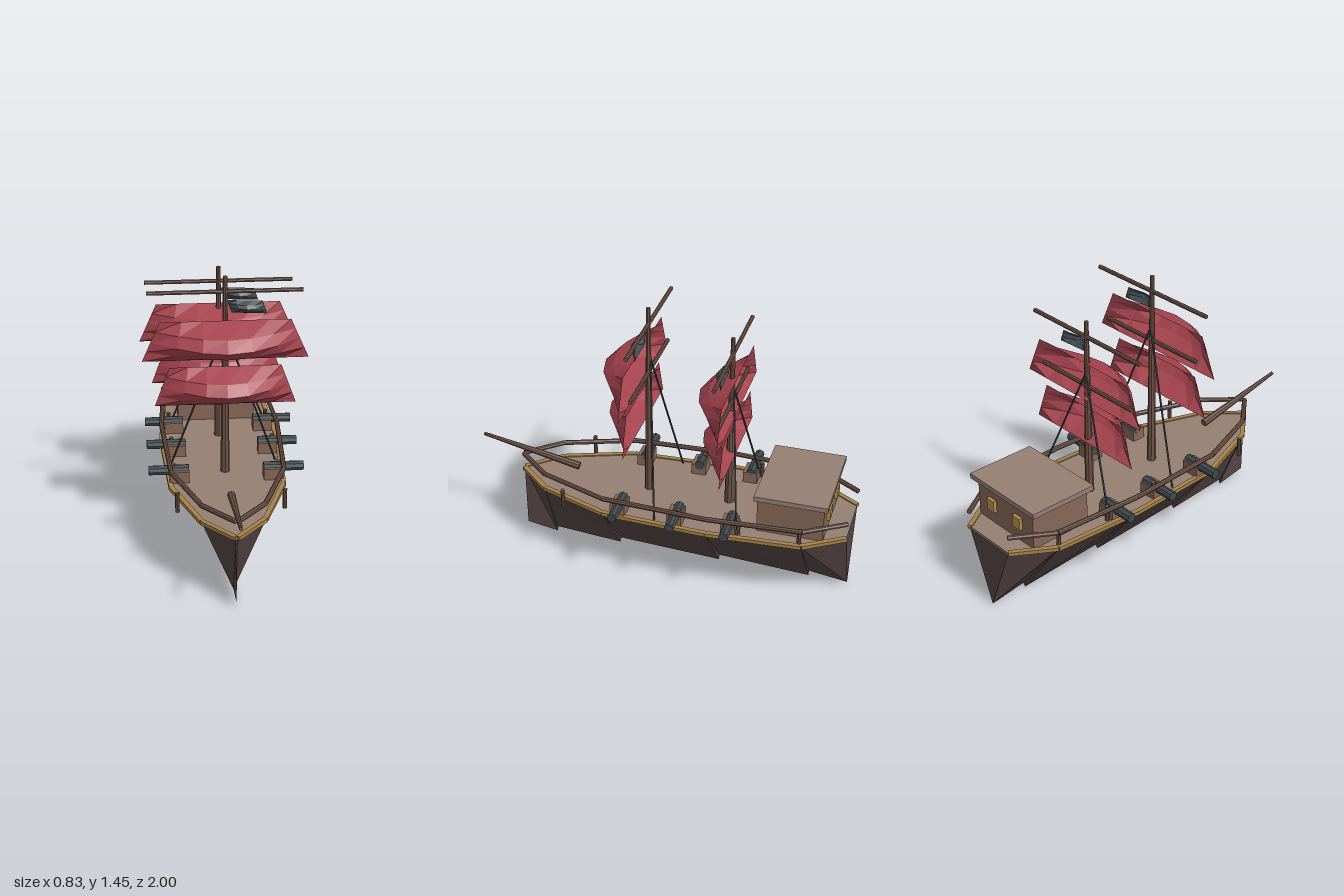
import * as THREE from 'three';

const mat = (color, side = THREE.FrontSide) =>
  new THREE.MeshStandardMaterial({ color, side, flatShading: true });
const hullMat = mat(0x564545), deckMat = mat(0x967f73), cabinMat = mat(0x866857);
const woodMat = mat(0x6e5346), trimMat = mat(0xa5824a), ironMat = mat(0x3f4a4e);
const sailMat = mat(0xa5434e, THREE.DoubleSide), flagMat = mat(0x3f4a4e, THREE.DoubleSide);
const windowMat = mat(0xb8924c);

// deck outline, stern to bow: [z, half width]
const OUTLINE = [[-0.995, 0.15], [-0.79, 0.28], [-0.305, 0.31], [0.245, 0.285], [0.605, 0.155], [0.775, 0.005]];
const DECK = 0.38;

function add(parent, name, geometry, material, x = 0, y = 0, z = 0) {
  const mesh = new THREE.Mesh(geometry, material);
  mesh.name = name;
  mesh.position.set(x, y, z);
  parent.add(mesh);
  return mesh;
}

// round spar from point a to point b
function spar(parent, name, a, b, r0, r1, material = woodMat, sides = 8) {
  const p = new THREE.Vector3(...a), q = new THREE.Vector3(...b);
  const dir = q.clone().sub(p);
  const mesh = add(parent, name, new THREE.CylinderGeometry(r1, r0, dir.length(), sides), material);
  mesh.position.copy(p).add(q).multiplyScalar(0.5);
  mesh.quaternion.setFromUnitVectors(new THREE.Vector3(0, 1, 0), dir.normalize());
  return mesh;
}

// V-shaped hull in overlapping sections, each keel dropping towards its aft end
function hullGeometry() {
  const pos = [];
  const tri = (...pts) => pts.forEach(p => pos.push(...p));
  for (let i = 0; i < OUTLINE.length - 1; i++) {
    const [zb, wb] = OUTLINE[i], [zf, wf] = OUTLINE[i + 1];
    const kf = [0, 0.03, zf], kb = [0, 0, zb];
    const fl = [wf, DECK, zf], fr = [-wf, DECK, zf], bl = [wb, DECK, zb], br = [-wb, DECK, zb];
    tri(fl, kf, kb); tri(fl, kb, bl);
    tri(fr, kb, kf); tri(fr, br, kb);
    tri(bl, kb, br);
    tri(fl, fr, kf);
  }
  const g = new THREE.BufferGeometry();
  g.setAttribute('position', new THREE.Float32BufferAttribute(pos, 3));
  g.computeVertexNormals();
  return g;
}

function deckGeometry() {
  const side = OUTLINE.map(([z, w]) => new THREE.Vector2(w, -z));
  const other = OUTLINE.map(([z, w]) => new THREE.Vector2(-w, -z)).reverse();
  return new THREE.ExtrudeGeometry(new THREE.Shape([...side, ...other]), { depth: 0.01, bevelEnabled: false })
    .rotateX(-Math.PI / 2);
}

// cloth that widens downwards and bellies forwards
function clothGeometry(topHalf, bottomHalf, height, belly, cols) {
  const g = new THREE.PlaneGeometry(1, 1, cols, 4);
  const p = g.attributes.position;
  for (let i = 0; i < p.count; i++) {
    const u = p.getX(i), v = p.getY(i);
    const half = THREE.MathUtils.lerp(bottomHalf, topHalf, v + 0.5);
    p.setXYZ(i, u * 2 * half, v * height, belly * Math.cos(Math.PI * u) * Math.cos(Math.PI * v));
  }
  g.computeVertexNormals();
  return g;
}

// mast with yards, sails, pennant and stays; clothY and sailZ place the cloth
function rig(name, z, top, clothY, sailZ) {
  const g = new THREE.Group();
  g.name = name;
  spar(g, 'mast', [0, DECK, z], [0, top, z], 0.024, 0.011);
  spar(g, 'upperYard', [-0.385, top - 0.08, z - 0.005], [0.385, top - 0.08, z - 0.005], 0.011, 0.011);
  spar(g, 'lowerYard', [-0.325, top - 0.35, z - 0.005], [0.325, top - 0.35, z - 0.005], 0.011, 0.011);
  add(g, 'upperSail', clothGeometry(0.325, 0.415, 0.205, 0.192, 6), sailMat, 0, clothY, sailZ);
  add(g, 'lowerSail', clothGeometry(0.28, 0.355, 0.205, 0.167, 6), sailMat, 0, clothY - 0.243, sailZ);
  // pennant, slanting away from the mast and sagging at its free end
  const flag = clothGeometry(0.088, 0.088, 0.066, 0.045, 4);
  const p = flag.attributes.position;
  for (let i = 0; i < p.count; i++) {
    const x = p.getX(i), y = p.getY(i);
    p.setXY(i, x - 0.35 * y, y - 0.05 * x);
  }
  flag.computeVertexNormals();
  add(g, 'flag', flag, flagMat, 0.108, clothY + 0.165, z + 0.01);
  for (const s of [-1, 1])
    spar(g, 'stay', [0, top - 0.28, z - 0.01], [s * 0.285, 0.35, z - 0.112], 0.005, 0.005, ironMat, 6);
  return g;
}

export function createModel() {
  const ship = new THREE.Group();
  ship.name = 'sailingShip';

  add(ship, 'hull', hullGeometry(), hullMat);
  add(ship, 'deck', deckGeometry(), deckMat, 0, DECK, 0);

  for (const s of [-1, 1]) {
    // edge trim and handrail follow the deck outline
    for (let i = 0; i < OUTLINE.length - 1; i++) {
      const [z0, w0] = OUTLINE[i], [z1, w1] = OUTLINE[i + 1];
      const dx = s * (w1 - w0), dz = z1 - z0;
      const trim = add(ship, 'deckTrim', new THREE.BoxGeometry(0.025, 0.02, Math.hypot(dx, dz)), trimMat,
        s * (w0 + w1) / 2, 0.386, (z0 + z1) / 2);
      trim.rotation.y = Math.atan2(dx, dz);
      spar(ship, 'handrail', [s * w0, 0.476, z0], [s * w1, 0.476, z1], 0.013, 0.013);
    }
    for (let i = 0; i < 5; i++) {
      const z = 0.465 - i * 0.31;
      spar(ship, 'railPost', [s * 0.265, 0.37, z], [s * 0.265, 0.475, z], 0.011, 0.011);
    }
    // cannons on carriages
    for (const z of [0.16, -0.14, -0.42]) {
      add(ship, 'cannonCarriage', new THREE.BoxGeometry(0.1, 0.06, 0.076), cabinMat, s * 0.24, 0.42, z + 0.005);
      spar(ship, 'cannon', [s * 0.19, 0.446, z], [s * 0.395, 0.446, z], 0.027, 0.025, ironMat);
    }
    // stern windows
    add(ship, 'cabinWindow', new THREE.BoxGeometry(0.055, 0.065, 0.018), windowMat, s * 0.1, 0.495, -0.893);
  }

  // stern cabin
  add(ship, 'cabin', new THREE.BoxGeometry(0.42, 0.2, 0.34), cabinMat, 0, 0.49, -0.715);
  add(ship, 'cabinRoof', new THREE.BoxGeometry(0.49, 0.027, 0.375), deckMat, 0, 0.602, -0.72);

  spar(ship, 'bowsprit', [0, 0.452, 0.465], [0, 0.56, 0.998], 0.021, 0.009);
  ship.add(rig('mainRig', 0.08, 1.45, 1.128, 0.11), rig('aftRig', -0.35, 1.35, 1.037, -0.38));
  return ship;
}
